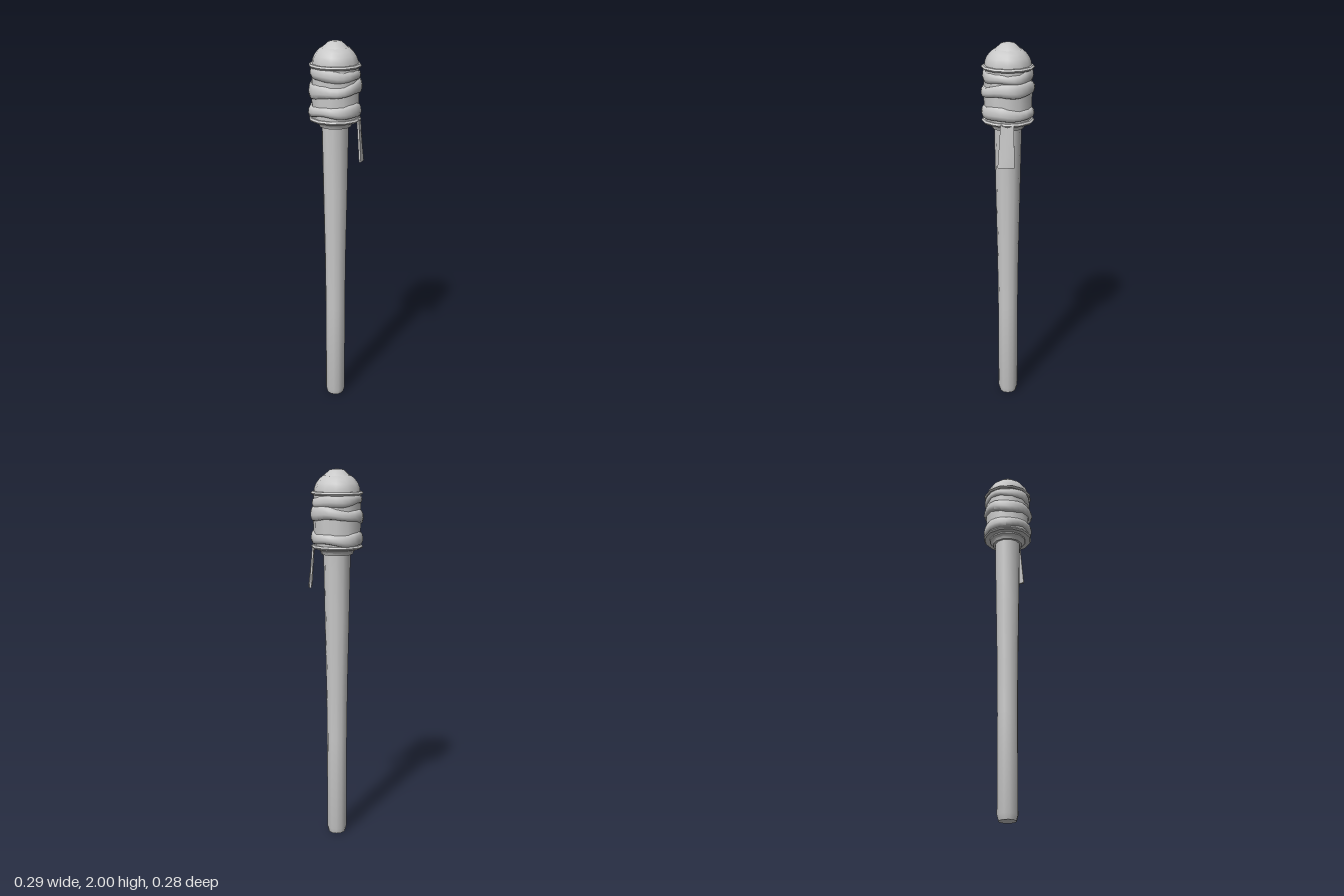
import * as THREE from 'three';
import { toCreasedNormals } from 'three/addons/utils/BufferGeometryUtils.js';

const AXIS_X = -0.01; // the turned parts sit slightly off centre to make room for the lever

export function createModel() {
  const model = new THREE.Group();
  model.name = 'shaftedHead';
  const grey = new THREE.MeshStandardMaterial({ color: 0xc8c8c8 });
  grey.name = 'plain grey';

  const add = (name, geometry, crease = 0.6, x = AXIS_X) => {
    const mesh = new THREE.Mesh(toCreasedNormals(geometry, crease), grey);
    mesh.name = name;
    mesh.position.x = x;
    model.add(mesh);
    return mesh;
  };

  // Turned solid from [radius, y] pairs, bottom to top, with a corner on +x
  const turn = (profile, sides) => new THREE.LatheGeometry(
    profile.map(([r, y]) => new THREE.Vector2(r, y)), sides, Math.PI / 2);

  // Long handle, bevelled at the foot and flaring towards the head
  add('handle', turn([
    [0, 0], [0.046, 0], [0.054, 0.03], [0.054, 0.55], [0.057, 0.85],
    [0.064, 1.2], [0.071, 1.58], [0, 1.58],
  ], 12), 0.7);

  // Stepped collar under the head
  add('collar', turn([
    [0, 1.565], [0.082, 1.565], [0.088, 1.58], [0.1, 1.59], [0.104, 1.61], [0, 1.61],
  ], 12));

  // Drum of the head
  add('drum', turn([[0, 1.605], [0.121, 1.605], [0.124, 1.75], [0.121, 1.885], [0, 1.885]], 12));

  // Rims above and below the drum
  for (const [name, y] of [['lowerRim', 1.606], ['upperRim', 1.88]]) {
    add(name, turn([
      [0.1, y - 0.009], [0.129, y - 0.009], [0.136, y], [0.129, y + 0.009], [0.1, y + 0.009],
    ], 12), 0.9);
  }

  // Rounded dome and low cap
  add('dome', turn([
    [0.119, 1.885], [0.118, 1.905], [0.108, 1.93], [0.092, 1.951], [0.072, 1.968], [0, 1.97],
  ], 12), 0.9);
  add('cap', turn([[0.073, 1.964], [0.06, 1.977], [0.037, 1.996], [0.02, 2], [0, 2]], 9), 0.9);

  // Rumpled wraps: turned bands whose rings tilt, swell and wave
  const wraps = [
    { name: 'lowerWrap', y: 1.652, half: 0.032, r: 0.136, tilt: 0.006, phase: 0.6 },
    { name: 'middleWrap', y: 1.768, half: 0.034, r: 0.138, tilt: 0.014, phase: 2.4 },
    { name: 'upperWrap', y: 1.842, half: 0.03, r: 0.13, tilt: 0.008, phase: 4.4 },
  ];
  for (const { name, y, half, r, tilt, phase } of wraps) {
    const g = turn([
      [0.112, -half], [r - 0.006, -half * 0.8], [r, -half * 0.2],
      [r - 0.003, half * 0.45], [r - 0.01, half * 0.85], [0.112, half],
    ], 24);
    const p = g.attributes.position;
    for (let i = 0; i < p.count; i++) {
      const a = Math.atan2(p.getZ(i), p.getX(i));
      const swell = 1 + 0.014 * Math.sin(5 * a + phase) + 0.012 * Math.sin(3 * a - phase);
      const height = 1 + 0.2 * Math.sin(2 * a + phase);
      p.setXYZ(i, p.getX(i) * swell,
        y + p.getY(i) * height + tilt * Math.sin(a + phase) + 0.004 * Math.sin(4 * a),
        p.getZ(i) * swell);
    }
    add(name, g, 1);
  }

  // Bowed safety lever hanging from the lower rim on the model's left
  const lever = new THREE.BoxGeometry(0.01, 0.22, 1, 1, 4, 2);
  const p = lever.attributes.position;
  for (let i = 0; i < p.count; i++) {
    const t = 0.5 - p.getY(i) / 0.22; // 0 at the top, 1 at the foot
    const side = p.getZ(i) * 2;
    const z = side > 0 ? THREE.MathUtils.lerp(0.036, 0.051, t)
      : side < 0 ? THREE.MathUtils.lerp(-0.032, -0.035, t) : 0.006;
    const x = 0.113 + 0.024 * t - 0.009 * Math.abs(side) * t;
    p.setXYZ(i, x + p.getX(i), 1.61 - 0.22 * t, z);
  }
  add('lever', lever, 0.6, 0);

  return model;
}
